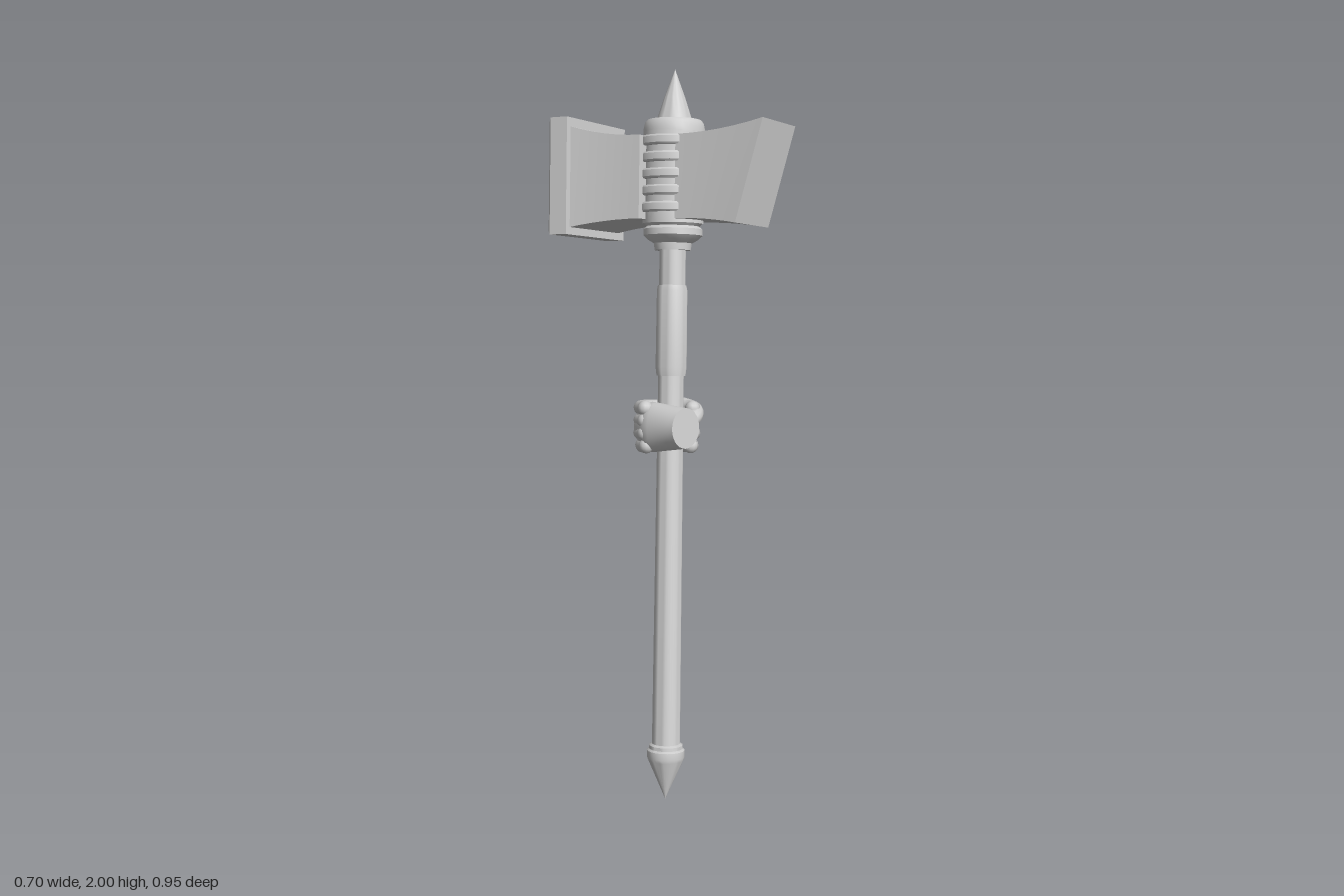
import * as THREE from 'three';
import { toCreasedNormals } from 'three/addons/utils/BufferGeometryUtils.js';

const material = new THREE.MeshStandardMaterial({ color: 0xcccccc });
const V3 = (x, y, z) => new THREE.Vector3(x, y, z);

function add(group, name, geometry) {
  const mesh = new THREE.Mesh(geometry, material);
  mesh.name = name;
  group.add(mesh);
  return mesh;
}

// Turned part from [radius, height] pairs, listed from bottom to top
function turned(points, sides = 32) {
  const profile = points.map(([r, y]) => new THREE.Vector2(r, y));
  return toCreasedNormals(new THREE.LatheGeometry(profile, sides), 0.6);
}

// Box whose cross-section follows rule(t) along x, for t from 0 to 1
function lofted(segments, rule) {
  const g = new THREE.BoxGeometry(1, 1, 1, segments, 1, 1);
  const p = g.attributes.position;
  for (let i = 0; i < p.count; i++) {
    const r = rule(p.getX(i) + 0.5);
    const top = p.getY(i) > 0;
    p.setXYZ(i, top ? r.xTop : r.xBottom, top ? r.top : r.bottom, 2 * p.getZ(i) * r.half);
  }
  return toCreasedNormals(g, 0.3);
}

function buildHandle(group) {
  add(group, 'pommel', turned([[0, 0], [0.051, 0.115], [0.055, 0.125], [0.055, 0.145],
    [0.049, 0.15], [0.049, 0.16], [0.04, 0.165]]));
  add(group, 'shaft', turned([[0.041, 0.15], [0.037, 1.25]]));
  add(group, 'gripSleeve', turned([[0.036, 1.235], [0.042, 1.235], [0.045, 1.26],
    [0.044, 1.48], [0.041, 1.495], [0.036, 1.495]]));
  add(group, 'neck', turned([[0.038, 1.48], [0.038, 1.64]]));
}

function buildHead(group) {
  // Central spool with its collars
  add(group, 'lowerCollar', turned([[0.038, 1.595], [0.052, 1.595], [0.055, 1.615], [0.072, 1.625],
    [0.085, 1.637], [0.085, 1.655], [0.075, 1.663], [0.088, 1.675], [0.088, 1.7]]));
  add(group, 'core', turned([[0.088, 1.67], [0.088, 1.93], [0, 1.93]]));
  for (let i = 0; i < 5; i++) {
    const y = 1.7 + i * 0.047;
    add(group, 'band', turned([[0.085, y], [0.1, y], [0.104, y + 0.005],
      [0.104, y + 0.023], [0.1, y + 0.028], [0.085, y + 0.028]]));
  }
  add(group, 'upperCollar', turned([[0.088, 1.925], [0.088, 1.94], [0.084, 1.957], [0.077, 1.965],
    [0.066, 1.965], [0.06, 1.953], [0, 1.953]]));
  add(group, 'topSpike', turned([[0.053, 1.95], [0.049, 1.972], [0.03, 2.03], [0, 2.11]]));

  // Plain striking block with a sloping end face
  add(group, 'leftBlock', lofted(6, (t) => ({
    xTop: 0.05 + 0.278 * t, xBottom: 0.05 + 0.198 * t,
    top: 1.915 + 0.03 * t * t, bottom: 1.68 - 0.018 * t * t, half: 0.092 + 0.012 * t * t,
  }))).position.z = -0.01;

  // Opposite block, flaring into a broad plate
  add(group, 'rightBlock', lofted(6, (t) => {
    const x = -0.28 + 0.23 * t, f = (1 - t) ** 2;
    return { xTop: x, xBottom: x, top: 1.915 + 0.035 * f, bottom: 1.68 - 0.022 * f, half: 0.12 + 0.016 * f };
  })).position.z = -0.01;
  add(group, 'strikingPlate', lofted(2, (t) => {
    const x = [-0.338, -0.328, -0.272][Math.round(t * 2)];
    const c = t < 0.25 ? 0.01 : 0;
    return { xTop: x, xBottom: x, top: 1.974 - c, bottom: 1.638 + c, half: 0.16 - c };
  })).position.z = -0.015;
}

function buildHand(group) {
  // Back of the hand: rounded sections from the knuckles to the flat wrist cut
  const palm = new THREE.CylinderGeometry(1, 1, 1, 28, 10);
  const p = palm.attributes.position;
  for (let i = 0; i < p.count; i++) {
    const t = p.getY(i) + 0.5;
    const round = Math.sqrt(Math.min(1, 0.2 + 2.6 * t));
    const halfHeight = (0.08 - 0.022 * t) * round;
    const halfDepth = (0.04 + 0.018 * t) * round;
    const a = p.getX(i), b = p.getZ(i);
    p.setXYZ(i, -0.09 + 0.165 * t - 0.012 * b * t, a * halfHeight, 0.035 + 0.008 * t + b * halfDepth);
  }
  // Swapping axes mirrors the faces, so reverse their corner order
  const index = palm.index.array;
  const mirrored = V3(0, 1, 0).cross(V3(1, 0, 0)).dot(V3(0, 0, 1)) > 0;
  if (!mirrored) {
    for (let i = 0; i < index.length; i += 3) [index[i], index[i + 1]] = [index[i + 1], index[i]];
  }
  add(group, 'palm', toCreasedNormals(palm, 0.8));

  const digit = (name, points, radius) => {
    const curve = new THREE.CatmullRomCurve3(points);
    add(group, name, new THREE.TubeGeometry(curve, 28, radius, 12));
    for (const end of [points[0], points[points.length - 1]]) {
      add(group, name + 'End', new THREE.SphereGeometry(radius, 12, 8)).position.copy(end);
    }
  };
  // Four fingers curling round the shaft
  for (let i = 0; i < 4; i++) {
    const y = -0.054 + i * 0.036;
    const k = i === 0 ? 0.93 : 1;
    digit('finger', [[-0.05, 0.06], [-0.086, 0.02], [-0.078, -0.042], [-0.02, -0.08], [0.035, -0.068], [0.05, -0.04]]
      .map(([x, z]) => V3(x * k, y, z * k)), 0.022);
  }
  // Thumb lying across the top of the fingers
  digit('thumb', [V3(0.05, 0.01, 0.01), V3(0.062, 0.03, -0.03), V3(0.035, 0.05, -0.078), V3(-0.02, 0.062, -0.095)], 0.023);
}

export function createModel() {
  const model = new THREE.Group();
  model.name = 'warHammer';
  const hammer = new THREE.Group();
  hammer.name = 'hammer';
  const hand = new THREE.Group();
  hand.name = 'hand';
  hand.position.y = 1.087;

  buildHandle(hammer);
  buildHead(hammer);
  buildHand(hand);
  hammer.add(hand);

  // Lean the upright hammer: y along the handle, x along the head
  const up = V3(0.09, 2, -0.665).normalize();
  const head = up.clone().cross(V3(-0.565, 0.28, 0.778)).normalize();
  const side = head.clone().cross(up);
  hammer.applyMatrix4(new THREE.Matrix4().makeBasis(head, up, side).setPosition(-0.06, 0, 0.46));
  model.add(hammer);
  return model;
}
